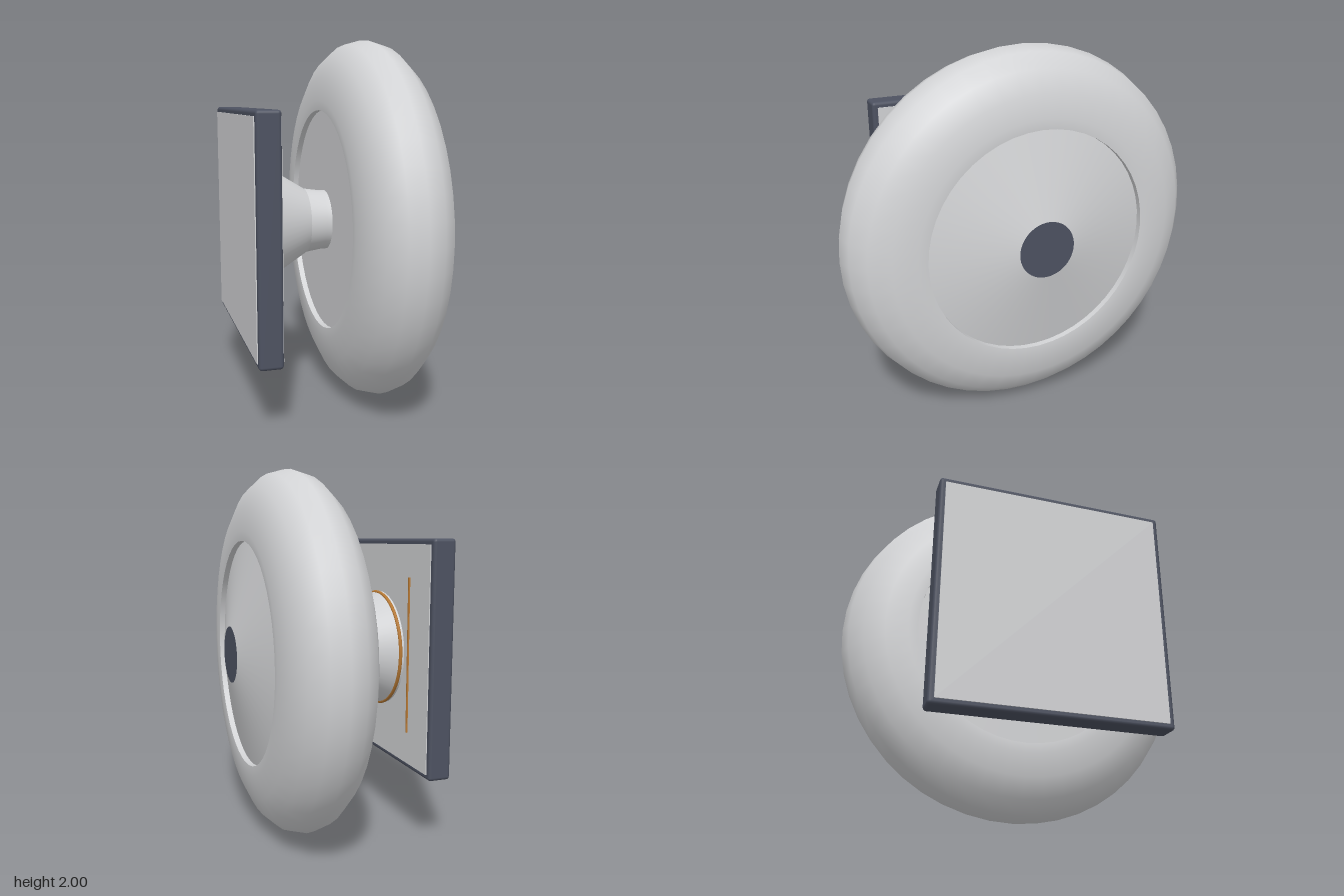
import * as THREE from 'three';
import { RoundedBoxGeometry } from 'three/addons/geometries/RoundedBoxGeometry.js';

const material = (name, color) => {
  const m = new THREE.MeshStandardMaterial({ color });
  m.name = name;
  return m;
};

export function createModel() {
  const grey = material('light grey', 0xd2d3d5);
  const dark = material('dark slate', 0x4d5261);
  const copper = material('copper', 0xb87a35);

  const model = new THREE.Group();
  model.name = 'wallKnob';

  const add = (name, geometry, mat, x = 0, y = 1, z = 0) => {
    const mesh = new THREE.Mesh(geometry, mat);
    mesh.name = name;
    mesh.position.set(x, y, z);
    model.add(mesh);
    return mesh;
  };
  // Turned part around the x axis; points are [radius, x]
  const turned = (name, points, mat) => {
    const g = new THREE.LatheGeometry(points.map(([r, x]) => new THREE.Vector2(r, x)), 48);
    return add(name, g.rotateZ(-Math.PI / 2), mat);
  };

  // Wheel rim: half-ellipse section with short flat shoulders
  const rim = [[0.617, -0.032]];
  for (let i = 0; i <= 8; i++) {
    const a = -Math.PI / 2 + (i * Math.PI) / 8;
    rim.push([0.67 + 0.33 * Math.cos(a), 0.205 + 0.24 * Math.sin(a)]);
  }
  rim.push([0.617, 0.442]);
  turned('rim', rim, grey);

  // Recessed faces inside the rim
  turned('frontRecessWall', [[0.617, 0.442], [0.617, 0.41]], grey);
  turned('backRecessWall', [[0.617, 0], [0.617, -0.032]], grey);
  turned('frontFace', [[0.617, 0.41], [0.155, 0.515]], grey);
  turned('backFace', [[0, 0], [0.617, 0]], grey);
  turned('centreCap', [[0.155, 0.515], [0, 0.515]], dark);

  // Flared neck, its foot and the ring around it
  turned('neckFlare', [[0.32, -0.35], [0.18, -0.12]], grey);
  turned('neck', [[0.18, -0.12], [0.167, -0.03], [0.167, 0.01]], grey);
  turned('neckFoot', [[0.328, -0.385], [0.328, -0.365], [0.32, -0.35]], grey);
  const ring = new THREE.TorusGeometry(0.322, 0.01, 8, 48).rotateY(Math.PI / 2);
  add('ring', ring, copper, -0.36);

  // Square mounting plate with a panel on both faces
  add('mountingPlate', new RoundedBoxGeometry(0.126, 1.26, 1.26, 2, 0.018), dark, -0.447);
  for (const [name, x] of [['wallPanel', -0.511], ['innerPanel', -0.383]]) {
    add(name, new THREE.BoxGeometry(0.008, 1.2, 1.2), grey, x);
  }

  // Thin upright marker on the inner panel
  add('marker', new THREE.BoxGeometry(0.009, 0.85, 0.009), copper, -0.375, 1, -0.38);

  return model;
}
